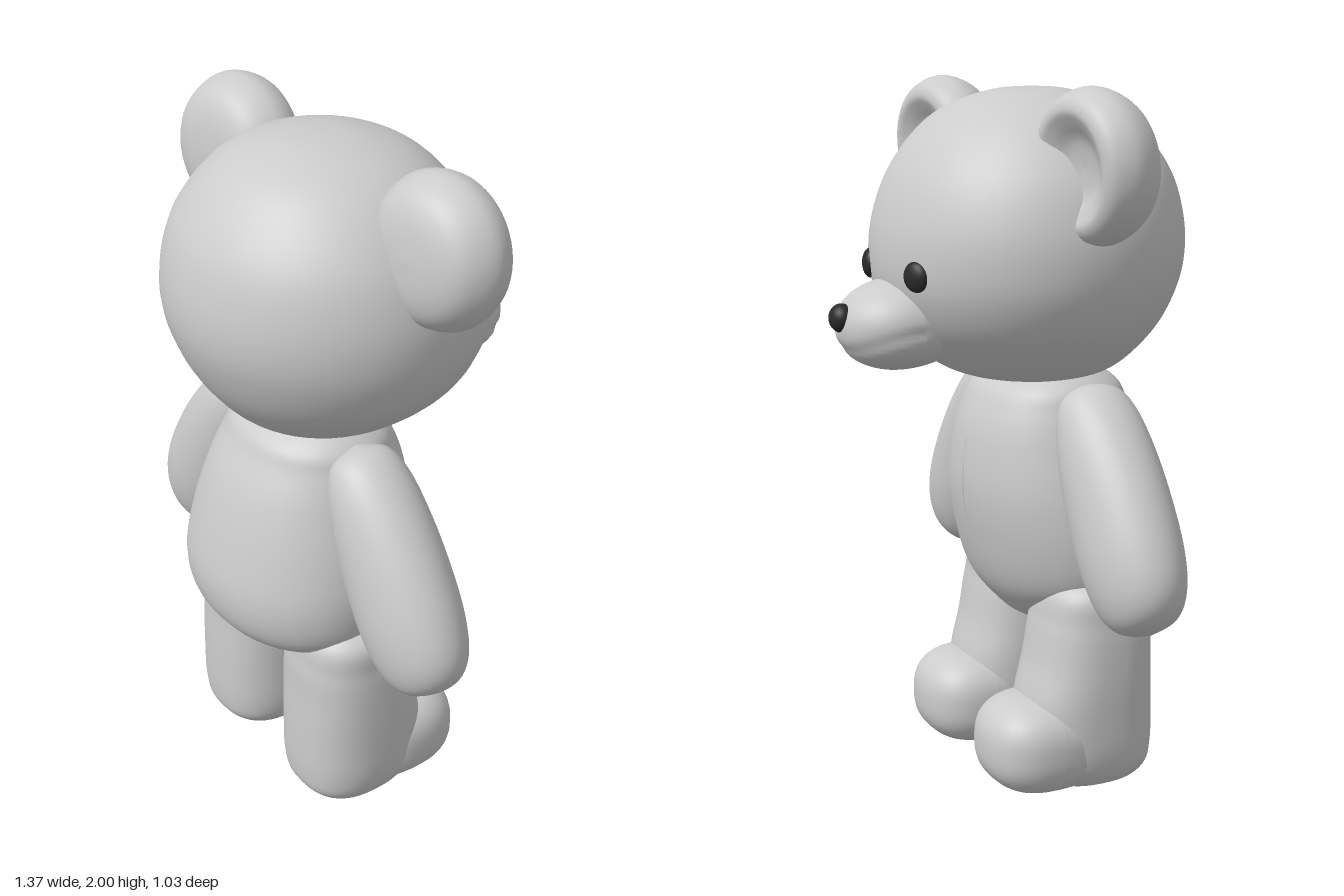
import * as THREE from 'three';

const fur = new THREE.MeshStandardMaterial({ color: 0xcccccc });
const dark = new THREE.MeshStandardMaterial({ color: 0x2a2a2a });

function add(parent, name, geometry, material = fur) {
  const mesh = new THREE.Mesh(geometry, material);
  mesh.name = name;
  parent.add(mesh);
  return mesh;
}

// Superellipse cosine / sine: power 2 is round, higher is boxier
const soft = (v, p) => Math.sign(v) * Math.pow(Math.abs(v), 2 / p);

// Closed smooth form stacked along y; rows are [y, halfWidth, zBack, zFront]
function loft(rows, p = 2, steps = 60, sides = 48) {
  const a = new THREE.SplineCurve(rows.map(r => new THREE.Vector2(r[0], r[1])));
  const b = new THREE.SplineCurve(rows.map(r => new THREE.Vector2(r[2], r[3])));
  const pos = [], idx = [];
  for (let i = 0; i <= steps; i++) {
    const u = a.getPoint(i / steps), w = b.getPoint(i / steps);
    const rx = Math.max(0, u.y), zc = (w.x + w.y) / 2, rz = (w.x - w.y) / 2;
    for (let j = 0; j < sides; j++) {
      const t = (j / sides) * Math.PI * 2;
      pos.push(rx * soft(Math.cos(t), p), u.x, zc + rz * soft(Math.sin(t), p));
      if (i === steps) continue;
      const k = i * sides + j, n = i * sides + ((j + 1) % sides);
      idx.push(k, k + sides, n, n, k + sides, n + sides);
    }
  }
  const g = new THREE.BufferGeometry();
  g.setAttribute('position', new THREE.Float32BufferAttribute(pos, 3));
  g.setIndex(idx);
  g.computeVertexNormals();
  return g;
}

// Ellipsoid, slightly fuller than round when p > 2
function blob(rx, ry, rz, p = 2) {
  const g = new THREE.SphereGeometry(1, 48, 36);
  const q = g.attributes.position, v = new THREE.Vector3();
  for (let i = 0; i < q.count; i++) {
    v.fromBufferAttribute(q, i);
    const n = Math.pow(Math.abs(v.x) ** p + Math.abs(v.y) ** p + Math.abs(v.z) ** p, 1 / p);
    q.setXYZ(i, (v.x / n) * rx, (v.y / n) * ry, (v.z / n) * rz);
  }
  g.computeVertexNormals();
  return g;
}

export function createModel() {
  const bear = new THREE.Group();
  bear.name = 'teddyBear';

  // Pear-shaped torso
  add(bear, 'torso', loft([
    [0.44, 0, 0.16, 0.16], [0.455, 0.1, 0.24, 0.06], [0.5, 0.21, 0.35, 0],
    [0.58, 0.32, 0.45, -0.06], [0.7, 0.35, 0.48, -0.1], [0.85, 0.335, 0.455, -0.125],
    [1.0, 0.295, 0.41, -0.115], [1.1, 0.262, 0.36, -0.085], [1.16, 0.235, 0.325, -0.045],
    [1.21, 0.15, 0.24, 0.04], [1.23, 0, 0.14, 0.14]], 2.15));

  // Stitched line down the belly
  const seam = new THREE.CatmullRomCurve3([[0.76, -0.112], [0.87, -0.124], [1.0, -0.113]]
    .map(([y, z]) => new THREE.Vector3(0, y, z)));
  add(bear, 'bellySeam', new THREE.TubeGeometry(seam, 12, 0.005, 6));

  // Round head with a broad, flattened underside
  const head = new THREE.Group();
  head.name = 'head';
  bear.add(head);
  add(head, 'skull', loft([
    [1.982, 0, 0.09, 0.09], [1.973, 0.11, 0.2, -0.02], [1.93, 0.24, 0.315, -0.145],
    [1.86, 0.335, 0.4, -0.235], [1.75, 0.417, 0.475, -0.312], [1.63, 0.457, 0.51, -0.355],
    [1.52, 0.462, 0.515, -0.367], [1.42, 0.44, 0.49, -0.352], [1.32, 0.384, 0.44, -0.3],
    [1.23, 0.285, 0.365, -0.205], [1.185, 0.2, 0.29, -0.11], [1.17, 0.1, 0.19, 0],
    [1.168, 0, 0.09, 0.09]].reverse()));

  // Muzzle with a faint smile crease pressed into it
  const snout = blob(0.17, 0.127, 0.185, 2.15);
  const q = snout.attributes.position;
  for (let i = 0; i < q.count; i++) {
    const x = q.getX(i), y = q.getY(i), z = q.getZ(i);
    if (z > 0) continue;
    const d = (y + 0.05 - x * x * 1.5) / 0.014;
    const s = 1 - 0.03 * Math.exp(-d * d);
    q.setXYZ(i, x * s, y, z * s);
  }
  snout.computeVertexNormals();
  const muzzle = add(head, 'muzzle', snout);
  muzzle.position.set(0.005, 1.348, -0.308);
  muzzle.rotation.x = -0.1;

  add(head, 'nose', blob(0.042, 0.04, 0.035), dark).position.set(0.012, 1.37, -0.482);

  // Plump ear with a shallow dish toward the face
  const earProfile = new THREE.SplineCurve([
    [0, -0.12], [0.1, -0.11], [0.17, -0.075], [0.207, 0], [0.19, 0.065],
    [0.155, 0.088], [0.12, 0.075], [0.07, 0.048], [0, 0.04],
  ].map(([r, h]) => new THREE.Vector2(r, h)));
  const earPoints = earProfile.getPoints(36).map(v => v.setX(Math.max(0, v.x)));
  const earGeo = new THREE.LatheGeometry(earPoints, 48);

  // Limb shapes
  const armGeo = loft([
    [0, 0, 0, 0], [0.025, 0.09, 0.075, -0.075], [0.09, 0.147, 0.115, -0.115],
    [0.2, 0.17, 0.135, -0.135], [0.35, 0.168, 0.138, -0.138], [0.5, 0.146, 0.132, -0.132],
    [0.62, 0.11, 0.115, -0.115], [0.69, 0.065, 0.08, -0.08], [0.72, 0, 0, 0]]);
  const legGeo = loft([
    [0.01, 0, 0.16, 0.16], [0.012, 0.1, 0.27, 0.05], [0.05, 0.15, 0.33, 0],
    [0.12, 0.173, 0.345, -0.03], [0.25, 0.178, 0.345, -0.04], [0.38, 0.176, 0.34, -0.01],
    [0.5, 0.167, 0.335, 0.01], [0.6, 0.145, 0.31, 0.04], [0.66, 0, 0.17, 0.17]], 2.5);
  const footGeo = blob(0.17, 0.14, 0.18, 2.6);

  // Paired parts; +x is left
  for (const [s, side] of [[1, 'left'], [-1, 'right']]) {
    const ear = add(head, side + 'Ear', earGeo);
    ear.position.set(s * 0.427, 1.793, 0.05 - s * 0.015);
    ear.rotation.set(-Math.PI / 2 - 0.08, 0.1, 0, 'YXZ');

    const eye = add(head, side + 'Eye', blob(0.043, 0.042, 0.024), dark);
    eye.position.set(s * 0.16, 1.495, -0.334);
    eye.rotation.y = -s * 0.35;

    const arm = add(bear, side + 'Arm', armGeo);
    arm.position.set(s * 0.6, 0.553, 0.147);
    arm.rotation.z = s * 0.525;

    const leg = new THREE.Group();
    leg.name = side + 'Leg';
    leg.position.x = s * 0.217 + 0.005;
    bear.add(leg);
    add(leg, side + 'Shin', legGeo);
    add(leg, side + 'Foot', footGeo).position.set(0, 0.143, 0.015);
  }
  return bear;
}
